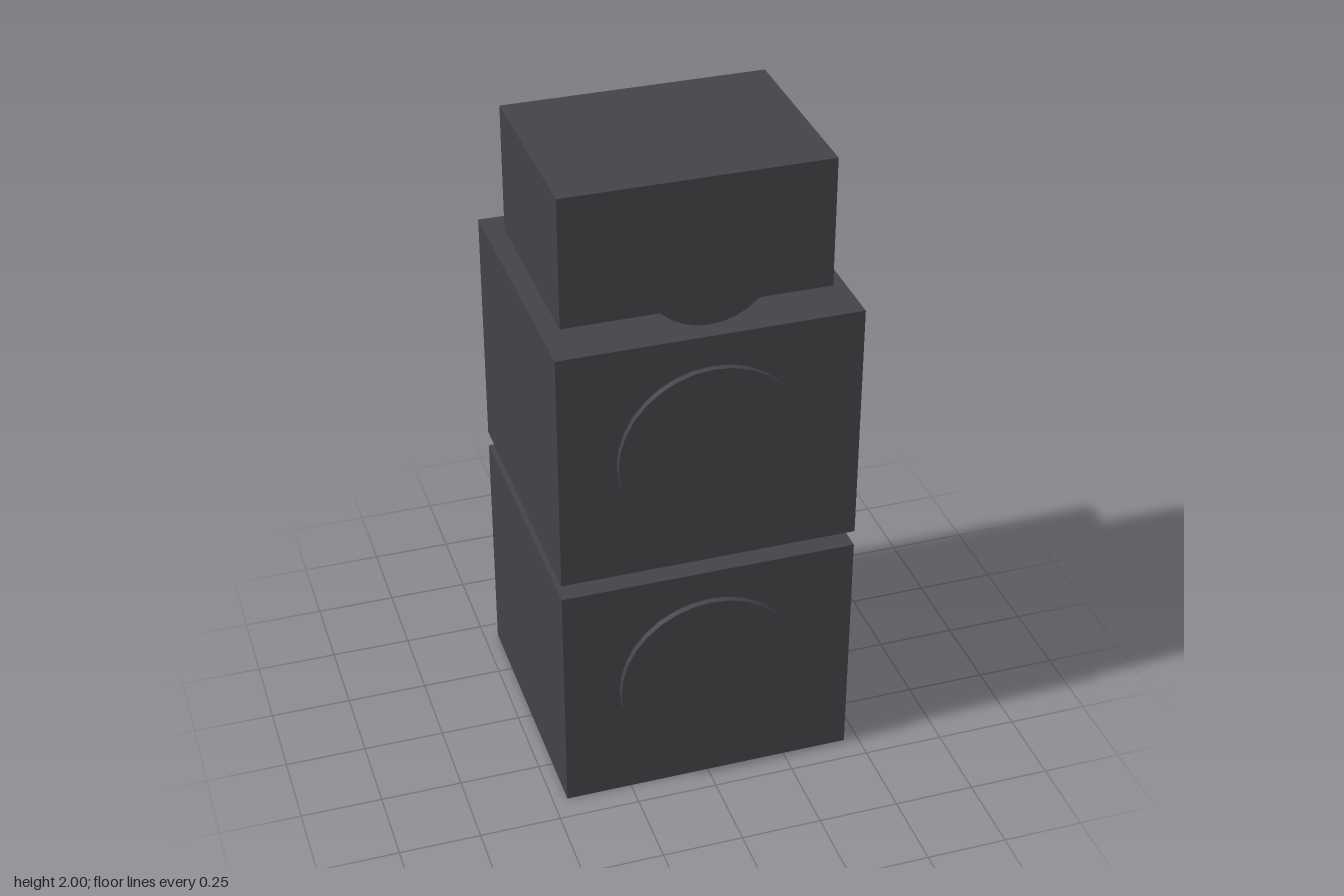
import * as THREE from 'three';

export function createModel() {
  const group = new THREE.Group();
  const charcoal = new THREE.MeshStandardMaterial({ color: 0x434247 });
  charcoal.name = 'charcoal';

  function add(name, geometry, y, z) {
    const mesh = new THREE.Mesh(geometry, charcoal);
    mesh.name = name;
    mesh.position.set(0, y, z);
    group.add(mesh);
  }

  // Round part lying along z, from zBack to zFront
  function addRound(name, rFront, rBack, y, zBack, zFront) {
    const geometry = new THREE.CylinderGeometry(rFront, rBack, zFront - zBack, 32);
    geometry.rotateX(Math.PI / 2);
    add(name, geometry, y, (zBack + zFront) / 2);
  }

  // Two stacked bass cabinets, each with a shallow round driver
  [['lower', 0.381], ['upper', 1.193]].forEach(([level, y]) => {
    add(level + 'Cabinet', new THREE.BoxGeometry(0.91, 0.762, 0.86), y, -0.01);
    addRound(level + 'Driver', 0.283, 0.283, y, 0.40, 0.44);
  });

  // Smaller top cabinet with a flared horn
  add('topCabinet', new THREE.BoxGeometry(0.81, 0.405, 0.607), 1.7975, -0.0115);
  addRound('horn', 0.202, 0.124, 1.798, 0.29, 0.394);

  return group;
}
